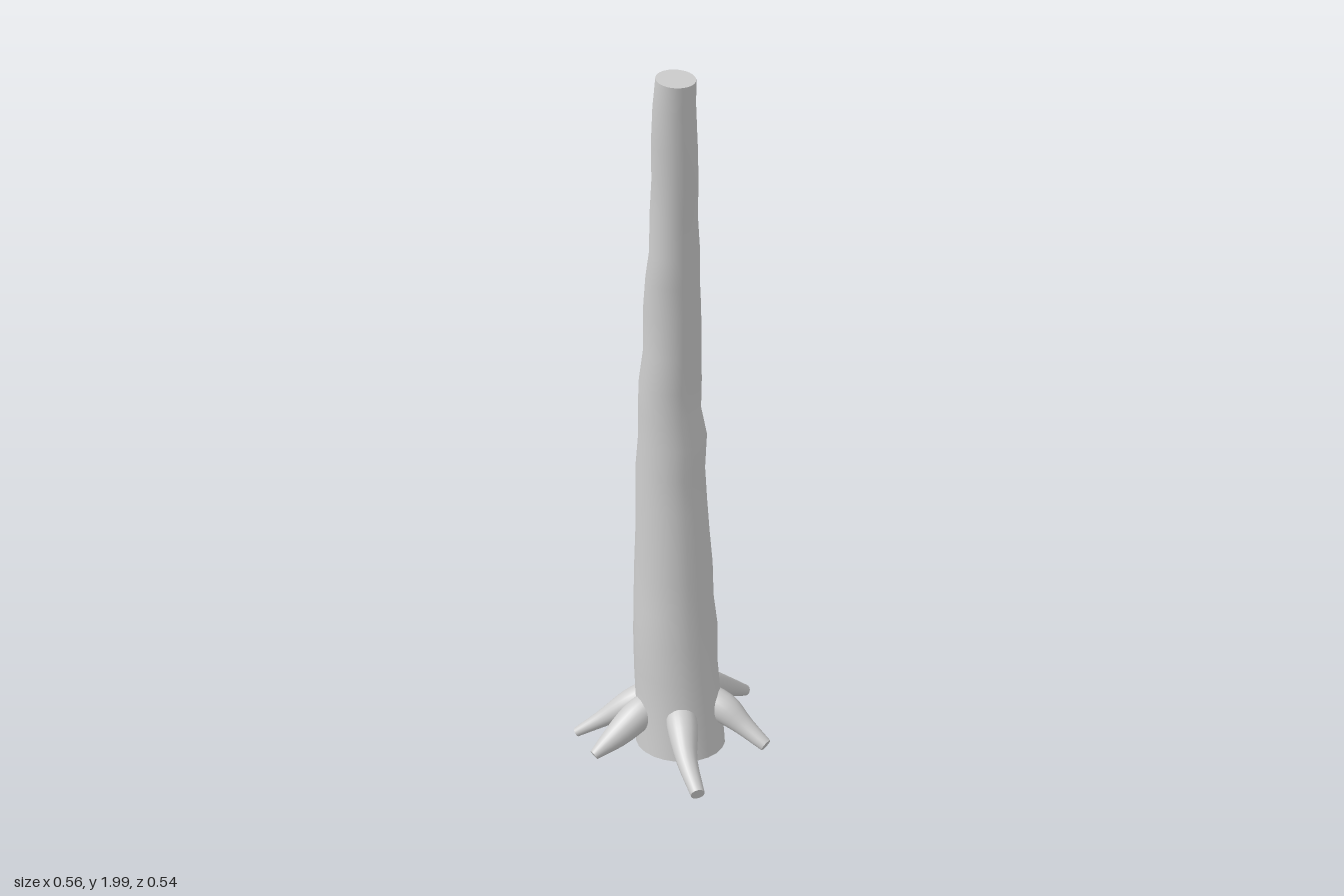
import * as THREE from 'three';

const SIDES = 24;

// Closed tube through rings of points, with separate flat end caps
function loft(rings) {
  const pos = [], idx = [], w = SIDES + 1;
  for (const ring of rings) for (let j = 0; j <= SIDES; j++) pos.push(...ring[j % SIDES].toArray());
  for (let i = 0; i < rings.length - 1; i++) {
    for (let j = 0; j < SIDES; j++) {
      const a = i * w + j, b = a + w;
      idx.push(a, a + 1, b, a + 1, b + 1, b);
    }
  }
  const geo = new THREE.BufferGeometry();
  const cap = (ring, top) => {
    const c = new THREE.Vector3();
    ring.forEach((p) => c.addScaledVector(p, 1 / SIDES));
    const start = pos.length / 3;
    pos.push(...c.toArray());
    ring.forEach((p) => pos.push(...p.toArray()));
    for (let j = 0; j < SIDES; j++) {
      const a = start + 1 + j, b = start + 1 + ((j + 1) % SIDES);
      if (top) idx.push(start, a, b);
      else idx.push(start, b, a);
    }
  };
  cap(rings[0], false);
  cap(rings[rings.length - 1], true);
  geo.setAttribute('position', new THREE.Float32BufferAttribute(pos, 3));
  geo.setIndex(idx);
  geo.computeVertexNormals();
  // Match the normals across the tube seam
  const n = geo.attributes.normal;
  for (let i = 0; i < rings.length; i++) {
    const a = i * w, b = a + SIDES;
    const v = new THREE.Vector3().fromBufferAttribute(n, a)
      .add(new THREE.Vector3().fromBufferAttribute(n, b)).normalize();
    n.setXYZ(a, v.x, v.y, v.z);
    n.setXYZ(b, v.x, v.y, v.z);
  }
  return geo;
}

// Trunk outline: height, min x, max x, min z, max z
const TRUNK = [
  [0.058, -0.138, 0.107, -0.143, 0.113],
  [0.2, -0.128, 0.104, -0.152, 0.093],
  [0.3, -0.127, 0.102, -0.156, 0.078],
  [0.41, -0.124, 0.111, -0.16, 0.063],
  [0.5, -0.114, 0.103, -0.168, 0.053],
  [0.6, -0.106, 0.106, -0.173, 0.042],
  [0.7, -0.1, 0.097, -0.17, 0.036],
  [0.8, -0.094, 0.095, -0.172, 0.023],
  [0.9, -0.089, 0.092, -0.174, 0.015],
  [0.99, -0.084, 0.098, -0.167, 0.013],
  [1.07, -0.081, 0.083, -0.164, 0.002],
  [1.15, -0.08, 0.086, -0.161, 0.0],
  [1.25, -0.071, 0.08, -0.146, 0.001],
  [1.36, -0.067, 0.08, -0.151, 0.0],
  [1.45, -0.068, 0.07, -0.135, 0.003],
  [1.53, -0.065, 0.066, -0.117, 0.004],
  [1.63, -0.06, 0.058, -0.119, 0.004],
  [1.72, -0.061, 0.052, -0.108, 0.014],
  [1.82, -0.067, 0.045, -0.1, 0.019],
  [1.92, -0.07, 0.036, -0.085, 0.021],
  [1.993, -0.067, 0.034, -0.073, 0.02],
];

function trunkGeometry() {
  const last = TRUNK.length - 1;
  return loft(TRUNK.map(([y, x0, x1, z0, z1], i) => {
    const ring = [];
    for (let j = 0; j < SIDES; j++) {
      const a = (j / SIDES) * Math.PI * 2, s = Math.sin(a), c = Math.cos(a);
      // both cut ends are slightly tilted
      const tilt = i === 0 ? 0.01 * c - 0.008 * s : i === last ? -0.007 * c : 0;
      ring.push(new THREE.Vector3(
        (x0 + x1) / 2 + s * (x1 - x0) / 2, y + tilt, (z0 + z1) / 2 + c * (z1 - z0) / 2));
    }
    return ring;
  }));
}

// Roots: points as x, y, z, radius from trunk to tip
const ROOTS = {
  frontRightRoot: [[-0.05, 0.2, 0.03, 0.04], [-0.082, 0.178, 0.085, 0.042], [-0.125, 0.14, 0.16, 0.029], [-0.165, 0.105, 0.262, 0.019]],
  frontLeftRoot: [[0.04, 0.2, 0.02, 0.04], [0.067, 0.178, 0.08, 0.042], [0.088, 0.145, 0.14, 0.028], [0.108, 0.112, 0.21, 0.018]],
  leftRoot: [[0.06, 0.19, -0.055, 0.038], [0.11, 0.165, -0.066, 0.04], [0.19, 0.11, -0.079, 0.03], [0.275, 0.052, -0.092, 0.016]],
  backLeftRoot: [[0.05, 0.2, -0.09, 0.035], [0.095, 0.16, -0.14, 0.038], [0.15, 0.09, -0.2, 0.037], [0.2, 0.015, -0.264, 0.009]],
  backRightRoot: [[-0.07, 0.19, -0.09, 0.04], [-0.115, 0.16, -0.118, 0.038], [-0.175, 0.11, -0.162, 0.024], [-0.237, 0.065, -0.204, 0.013]],
  rightRoot: [[-0.08, 0.19, -0.05, 0.038], [-0.13, 0.165, -0.055, 0.044], [-0.2, 0.125, -0.059, 0.035], [-0.274, 0.087, -0.064, 0.014]],
};

function rootGeometry(points) {
  const curve = new THREE.CatmullRomCurve3(points.map(([x, y, z]) => new THREE.Vector3(x, y, z)));
  const radius = new THREE.CatmullRomCurve3(points.map((p, i) => new THREE.Vector3(i, p[3], 0)));
  const rings = [];
  for (let i = 0; i <= 10; i++) {
    const t = i / 10, p = curve.getPoint(t), r = radius.getPoint(t).y;
    const dir = curve.getTangent(t);
    const u = new THREE.Vector3(0, 1, 0).cross(dir).normalize();
    const v = dir.clone().cross(u);
    const ring = [];
    for (let j = 0; j < SIDES; j++) {
      const a = (j / SIDES) * Math.PI * 2;
      ring.push(p.clone().addScaledVector(u, r * Math.cos(a)).addScaledVector(v, r * Math.sin(a)));
    }
    rings.push(ring);
  }
  return loft(rings);
}

export function createModel() {
  const model = new THREE.Group();
  model.name = 'treeTrunk';
  const bark = new THREE.MeshStandardMaterial({ color: 0xcccccc });
  bark.name = 'paleGreyBark';
  const add = (name, geometry) => {
    const mesh = new THREE.Mesh(geometry, bark);
    mesh.name = name;
    model.add(mesh);
  };
  add('trunk', trunkGeometry());
  for (const [name, points] of Object.entries(ROOTS)) add(name, rootGeometry(points));
  return model;
}
